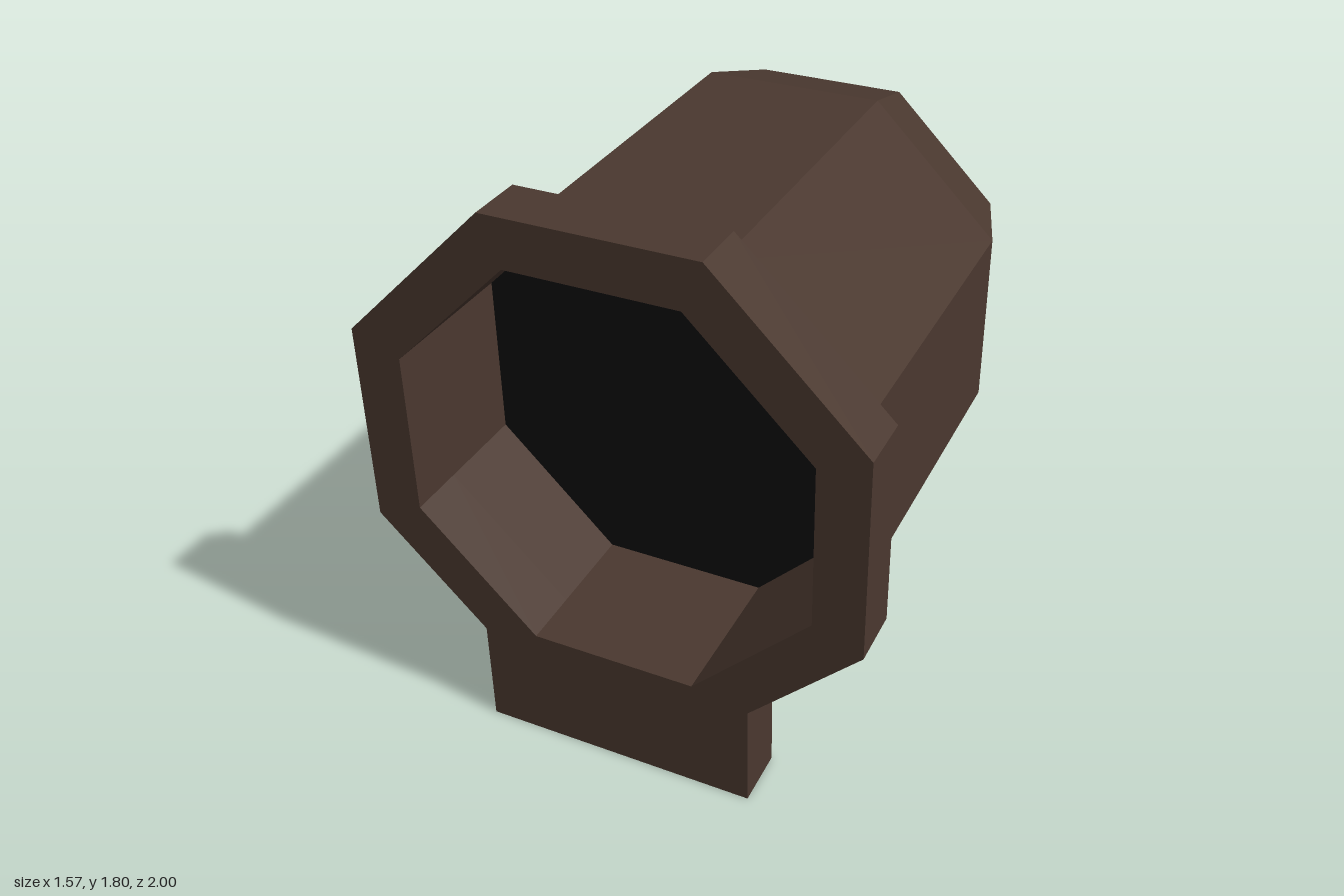
import * as THREE from 'three';

const CENTRE_Y = 1.016;

// Octagon corners, counter-clockwise: a = centre to flat side, h = half a flat side
function octagon(a, h) {
  return [[a, -h], [a, h], [h, a], [-h, a], [-a, h], [-a, -h], [-h, -a], [h, -a]]
    .map(([x, y]) => new THREE.Vector2(x, y + CENTRE_Y));
}

// Skin between octagon rings [z, a, h]; faces outward front to back, inward back to front
function loft(rings) {
  const pos = [];
  const loops = rings.map(([z, a, h]) => octagon(a, h).map(p => new THREE.Vector3(p.x, p.y, z)));
  for (let r = 0; r < loops.length - 1; r++) {
    const A = loops[r], B = loops[r + 1];
    for (let i = 0; i < 8; i++) {
      const j = (i + 1) % 8;
      const corners = [A[i], B[i], A[j]];
      if (rings[r + 1][1] > 0) corners.push(B[i], B[j], A[j]);
      corners.forEach(p => pos.push(p.x, p.y, p.z));
    }
  }
  const g = new THREE.BufferGeometry();
  g.setAttribute('position', new THREE.Float32BufferAttribute(pos, 3));
  g.computeVertexNormals();
  return g;
}

export function createModel() {
  const model = new THREE.Group();
  model.name = 'octagonalHousing';
  const brown = new THREE.MeshStandardMaterial({ color: 0x4a382f });
  brown.name = 'darkBrown';
  const black = new THREE.MeshStandardMaterial({ color: 0x0d0d0d });
  black.name = 'black';

  const add = (name, geometry, material) => {
    const mesh = new THREE.Mesh(geometry, material);
    mesh.name = name;
    model.add(mesh);
    return mesh;
  };

  // Front frame with foot and octagonal opening
  const half = [[0.44, 0], [0.44, 0.35], [0.783, 0.69], [0.783, 1.34], [0.323, 1.8]];
  const outline = [...half, ...half.map(([x, y]) => [-x, y]).reverse()];
  const frame = new THREE.Shape(outline.map(([x, y]) => new THREE.Vector2(x, y)));
  frame.holes.push(new THREE.Path(octagon(0.631, 0.261).reverse()));
  const frameGeo = new THREE.ExtrudeGeometry(frame, { depth: 0.18, bevelEnabled: false });
  frameGeo.translate(0, 0, 0.82);
  add('frontFrame', frameGeo, brown);

  // Barrel with its faceted rounded back
  add('barrel', loft([
    [0.82, 0.69, 0.286],
    [-0.325, 0.69, 0.286],
    [-0.66, 0.585, 0.243],
    [-0.89, 0.366, 0.152],
    [-1, 0, 0],
  ]), brown);

  // Recess walls and dark back panel
  add('recessWall', loft([[0.52, 0.631, 0.261], [0.82, 0.631, 0.261]]), brown);
  const panel = add('recessPanel', new THREE.ShapeGeometry(new THREE.Shape(octagon(0.631, 0.261))), black);
  panel.position.z = 0.52;

  return model;
}
